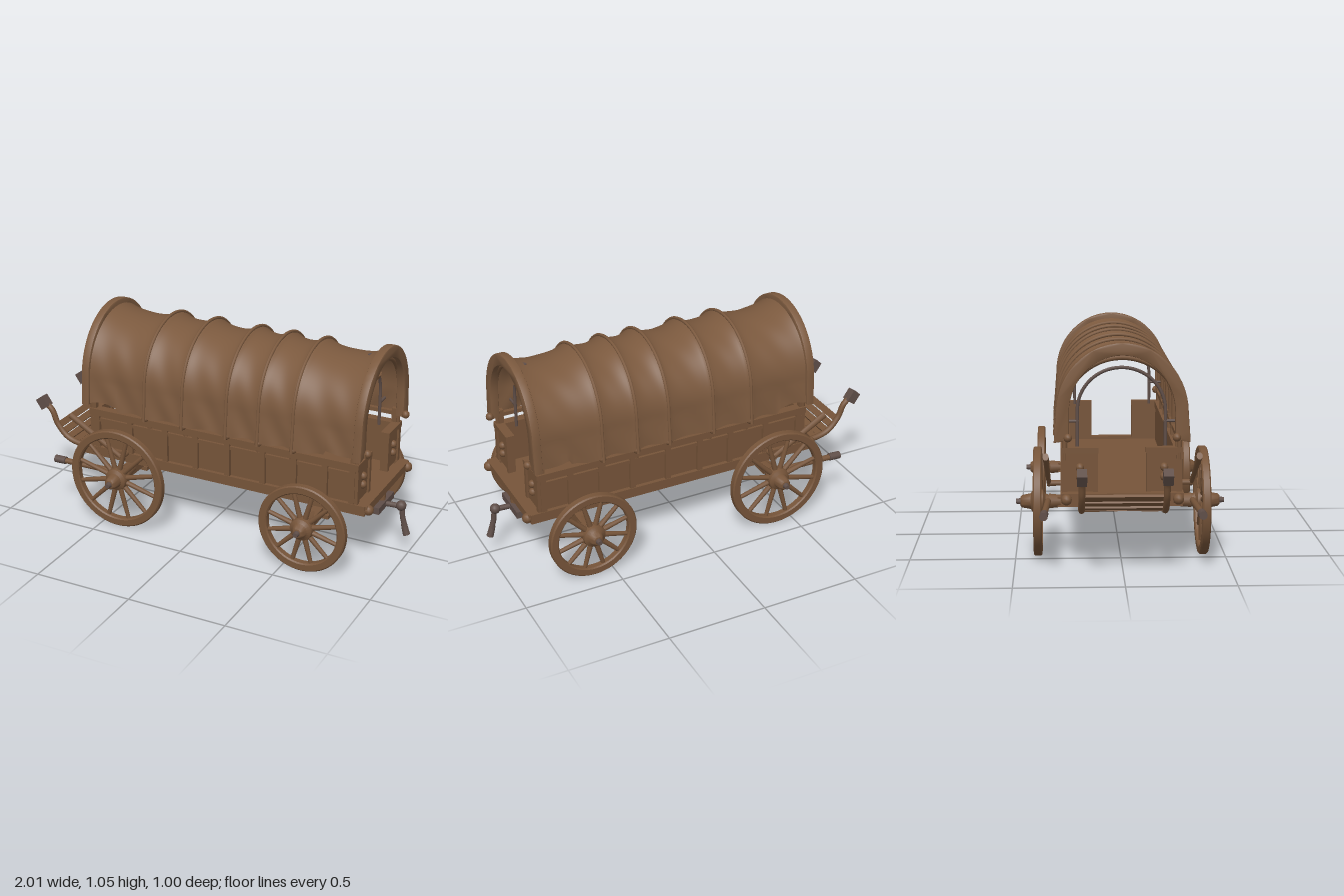
import * as THREE from 'three';
import { toCreasedNormals } from 'three/addons/utils/BufferGeometryUtils.js';

const wood = new THREE.MeshStandardMaterial({ color: 0x765439 });
wood.name = 'wood';
const canvas = new THREE.MeshStandardMaterial({ color: 0x7b593e, side: THREE.DoubleSide });
canvas.name = 'canvas';
const iron = new THREE.MeshStandardMaterial({ color: 0x5f4e48 });
iron.name = 'iron';

const V = (x, y, z) => new THREE.Vector3(x, y, z);

function add(parent, name, geo, mat, x = 0, y = 0, z = 0) {
  const m = new THREE.Mesh(geo, mat);
  m.name = name;
  m.position.set(x, y, z);
  parent.add(m);
  return m;
}
const box = (p, name, mat, w, h, d, x, y, z) => add(p, name, new THREE.BoxGeometry(w, h, d), mat, x, y, z);

// Straight round bar between two points
function rod(p, name, mat, a, b, r0, r1 = r0) {
  const m = add(p, name, new THREE.CylinderGeometry(r1, r0, a.distanceTo(b), 10), mat);
  m.position.copy(a).lerp(b, 0.5);
  m.quaternion.setFromUnitVectors(V(0, 1, 0), b.clone().sub(a).normalize());
  return m;
}
const tube = (p, name, mat, pts, r, n = 32) =>
  add(p, name, new THREE.TubeGeometry(new THREE.CatmullRomCurve3(pts), n, r, 8), mat);

// Point (z, y) on the arched section; u runs from +z hem to -z hem
function archPoint(u, rz, ry, hem, flare = 0) {
  const base = 0.72, leg = 0.15;
  if (u < leg || u > 1 - leg) {
    const t = u < leg ? u / leg : (1 - u) / leg;
    return [(u < 0.5 ? 1 : -1) * (rz + flare * (1 - t)), hem + (base - hem) * t];
  }
  const a = Math.PI * (u - leg) / (1 - 2 * leg);
  return [rz * Math.cos(a), base + ry * Math.sin(a)];
}
function archLine(x, rz, ry, hem, flare) {
  return Array.from({ length: 33 }, (_, i) => {
    const [z, y] = archPoint(i / 32, rz, ry, hem, flare);
    return V(x, y, z);
  });
}

const ribs = [-0.64, -0.3, -0.09, 0.15, 0.32, 0.5, 0.84];

// Canvas stretched over the ribs, sagging between them
function cover(g) {
  const geo = new THREE.PlaneGeometry(1, 1, 120, 64);
  const p = geo.attributes.position;
  for (let i = 0; i < p.count; i++) {
    const x = -0.64 + 1.48 * (p.getX(i) + 0.5), u = p.getY(i) + 0.5;
    let k = 0;
    while (k < ribs.length - 2 && x > ribs[k + 1]) k++;
    const span = ribs[k + 1] - ribs[k], t = (x - ribs[k]) / span;
    const sag = Math.pow(Math.max(0, 4 * t * (1 - t)), 0.6) * (0.018 + span * 0.07);
    const side = Math.abs(u - 0.5) * 2;
    const fold = 0.005 * side * Math.sin(x * 38 + u * 25) * Math.sin(Math.PI * t);
    const hem = (x > -0.46 && x < 0.66 ? 0.575 : 0.597) + 0.006 * Math.sin(x * 31);
    const end = Math.abs(x - 0.1) / 0.74;
    const [z, y] = archPoint(u, 0.3 - sag * 0.45 + fold, 0.305 + 0.015 * end ** 4 - sag + fold, hem, 0.012);
    p.setXYZ(i, x, y, z);
  }
  geo.computeVertexNormals();
  add(g, 'canvasCover', geo, canvas);
  for (const x of ribs.slice(1, -1)) tube(g, 'coverSeam', canvas, archLine(x, 0.298, 0.303, 0.56, 0.015), 0.008, 64);

  // Thick rolled edges at both openings
  for (const x of [-0.65, 0.815]) {
    const s = new THREE.Shape();
    const N = 40;
    for (let i = 0; i <= N; i++) {
      const [z, y] = archPoint(i / N, 0.3, 0.32, 0.59, 0.01);
      i ? s.lineTo(z, y) : s.moveTo(z, y);
    }
    for (let i = N; i >= 0; i--) s.lineTo(...archPoint(i / N, 0.25, 0.272, 0.6));
    const geoEdge = new THREE.ExtrudeGeometry(s, { depth: 0.03, bevelEnabled: true, bevelSize: 0.005, bevelThickness: 0.006, bevelSegments: 2 });
    geoEdge.rotateY(Math.PI / 2);
    // rotating sends local +x to -z; the section is symmetric
    add(g, 'rolledEdge', toCreasedNormals(geoEdge, 0.6), canvas, x, 0, 0);
  }
  // Inner hoops
  for (const x of ribs) tube(g, 'woodHoop', wood, archLine(x * 0.97, 0.265, 0.255, 0.5), 0.012, 48);
  for (const x of [-0.55, 0.74]) {
    tube(g, 'ironHoop', iron, archLine(x, 0.205, 0.2, 0.55), 0.008, 48);
    for (const s of [1, -1]) rod(g, 'hoopBracket', iron, V(x, 0.67, s * 0.2), V(x, 0.67, s * 0.27), 0.007);
  }
  // Hanging lamp under the roof
  box(g, 'lampBoard', wood, 0.06, 0.03, 0.17, 0.74, 0.955, 0);
  add(g, 'lampBody', new THREE.CylinderGeometry(0.045, 0.07, 0.06, 12), wood, 0.74, 0.92, 0);
  add(g, 'lampRing', new THREE.CylinderGeometry(0.075, 0.07, 0.015, 12), wood, 0.74, 0.895, 0);
  rod(g, 'lampStem', iron, V(0.76, 0.94, 0), V(0.76, 1.0, 0), 0.014);
  rod(g, 'lampHook', wood, V(0.76, 0.89, -0.035), V(0.76, 0.855, -0.035), 0.009, 0.006);
}

function body(g) {
  box(g, 'floor', wood, 1.46, 0.03, 0.5, 0.1, 0.32, 0);
  for (const s of [1, -1]) {
    box(g, 'sidePanel', wood, 1.42, 0.2, 0.02, 0.1, 0.44, s * 0.255);
    box(g, 'bottomSill', wood, 1.54, 0.05, 0.04, 0.1, 0.325, s * 0.265);
    box(g, 'topRail', wood, 1.46, 0.035, 0.045, 0.1, 0.54, s * 0.262);
    box(g, 'lowerRail', wood, 1.44, 0.018, 0.032, 0.1, 0.5, s * 0.262);
    box(g, 'coverRail', wood, 1.52, 0.02, 0.022, 0.1, 0.605, s * 0.262);
    for (const x of [-0.59, -0.4, -0.2, -0.03, 0.145, 0.335, 0.5, 0.66, 0.8])
      box(g, 'sidePost', wood, 0.028, 0.2, 0.036, x, 0.44, s * 0.264);
    for (const x of ribs) {
      const px = THREE.MathUtils.clamp(x, -0.61, 0.8);
      box(g, 'coverStake', wood, 0.025, 0.1, 0.025, px, 0.58, s * 0.262);
      if (px === x) add(g, 'tieKnot', new THREE.SphereGeometry(0.018, 10, 8), wood, x, 0.57, s * 0.295);
    }
    // End panels flanking the openings, with frame and latch
    for (const [x, d] of [[-0.61, -1], [0.81, 1]]) {
      box(g, 'endPanel', wood, 0.02, 0.2, 0.15, x, 0.45, s * 0.19);
      box(g, 'endPanelTop', wood, 0.045, 0.025, 0.17, x, 0.545, s * 0.195);
      box(g, 'endPanelInnerPost', wood, 0.04, 0.2, 0.022, x, 0.45, s * 0.123);
      box(g, 'endPanelOuterPost', wood, 0.04, 0.2, 0.025, x, 0.45, s * 0.265);
      for (const y of [0.42, 0.465])
        add(g, 'latch', new THREE.SphereGeometry(0.02, 10, 8), wood, x + d * 0.012, y, s * 0.195);
      add(g, 'railKnob', new THREE.SphereGeometry(0.02, 10, 8), wood, x + d * 0.05, 0.61, s * 0.25);
      add(g, 'sillKnob', new THREE.SphereGeometry(0.026, 10, 8), wood, x + d * 0.07, 0.325, s * 0.258);
    }
  }
  for (const x of [-0.645, 0.855]) box(g, 'endSill', wood, 0.05, 0.04, 0.56, x, 0.33, 0);
}

// Spoked wheel facing +z
function wheel(r, reach) {
  const w = new THREE.Group();
  w.name = 'wheel';
  const ring = new THREE.Shape().absarc(0, 0, r - 0.006, 0, Math.PI * 2);
  ring.holes.push(new THREE.Path().absarc(0, 0, r - 0.036, 0, Math.PI * 2, true));
  const rim = new THREE.ExtrudeGeometry(ring, { depth: 0.028, bevelSize: 0.006, bevelThickness: 0.006, bevelSegments: 1, curveSegments: 48 });
  add(w, 'rim', toCreasedNormals(rim, 0.6), wood, 0, 0, -0.014);
  for (let i = 0; i < 12; i++) {
    const a = (i + 0.5) * Math.PI / 6, c = Math.cos(a), s = Math.sin(a);
    rod(w, 'spoke', wood, V(c * 0.03, s * 0.03, 0), V(c * (r - 0.03), s * (r - 0.03), 0), 0.014, 0.01);
  }
  const prof = [[0, -0.055], [0.03, -0.055], [0.036, -0.035], [0.055, -0.024], [0.06, 0], [0.055, 0.024], [0.038, 0.034], [0.03, reach - 0.03], [0.022, reach - 0.022], [0, reach - 0.02]];
  const hub = new THREE.LatheGeometry(prof.map(q => new THREE.Vector2(...q)), 20).rotateX(Math.PI / 2);
  add(w, 'hub', toCreasedNormals(hub, 0.7), wood);
  rod(w, 'hubCap', iron, V(0, 0, reach - 0.025), V(0, 0, reach), 0.016, 0.012);
  return w;
}

function runningGear(g) {
  for (const [x, r, z, reach] of [[-0.41, 0.26, 0.393, 0.105], [0.6, 0.224, 0.387, 0.085]]) {
    const y = r;
    for (const s of [1, -1]) {
      const w = wheel(r, reach);
      w.position.set(x, y, s * z);
      if (s < 0) w.rotation.y = Math.PI;
      g.add(w);
      box(g, 'axleBlock', wood, 0.07, 0.03, 0.1, x, 0.293, s * 0.17);
      rod(g, 'axleCollar', wood, V(x, y, s * 0.25), V(x, y, s * 0.34), 0.026, 0.036);
      box(g, 'axleStrap', wood, 0.09, 0.02, 0.08, x, y - 0.035, s * 0.14);
    }
    box(g, 'axle', wood, 0.05, 0.05, 0.6, x, y, 0);
    box(g, 'bolster', wood, 0.09, 0.035, 0.4, x, y + 0.012, 0);
  }
  for (const s of [1, -1]) {
    // Struts from the axles to the ends
    rod(g, 'hitchStrut', wood, V(-0.38, 0.25, s * 0.08), V(-0.7, 0.285, s * 0.19), 0.016);
    rod(g, 'towStrut', wood, V(0.6, 0.24, s * 0.15), V(0.86, 0.24, s * 0.04), 0.016);
    // Upswept arms with iron heads
    tube(g, 'upsweptArm', wood, [V(-0.6, 0.3, s * 0.19), V(-0.74, 0.29, s * 0.19), V(-0.83, 0.315, s * 0.19), V(-0.89, 0.38, s * 0.19), V(-0.92, 0.45, s * 0.19), V(-0.965, 0.49, s * 0.19)], 0.015);
    box(g, 'armHead', iron, 0.05, 0.06, 0.045, -0.967, 0.487, s * 0.19).rotation.z = 0.6;
    // Side bar and brake lever beside the large wheel
    rod(g, 'sideBar', wood, V(-0.4, 0.265, s * 0.343), V(-0.77, 0.272, s * 0.362), 0.015);
    rod(g, 'sideBarCap', iron, V(-0.735, 0.272, s * 0.36), V(-0.795, 0.272, s * 0.363), 0.02);
    const lever = rod(g, 'brakeLever', wood, V(-0.4, 0.34, s * 0.34), V(-0.7, 0.53, s * 0.352), 0.013, 0.018);
    lever.scale.z = 0.8;
    rod(g, 'leverPivot', wood, V(-0.42, 0.35, s * 0.26), V(-0.42, 0.35, s * 0.35), 0.014);
  }
  // Sloping slatted footboard
  [[-0.75, 0.295], [-0.785, 0.302], [-0.82, 0.318], [-0.85, 0.345], [-0.877, 0.375]].forEach(([x, y], i) => {
    box(g, 'footboardSlat', wood, 0.034, 0.014, 0.37, x, y, 0).rotation.z = -0.1 - i * 0.18;
  });
  // Tow bar and drooping hook
  box(g, 'towPlate', iron, 0.05, 0.035, 0.2, 0.85, 0.24, 0);
  rod(g, 'towPin', wood, V(0.85, 0.22, 0), V(0.85, 0.31, 0), 0.018);
  tube(g, 'towHook', iron, [V(0.84, 0.235, 0), V(0.9, 0.24, 0), V(0.95, 0.235, 0), V(0.962, 0.18, 0), V(0.985, 0.11, 0)], 0.014);
  add(g, 'hookKnuckle', new THREE.SphereGeometry(0.026, 12, 10), iron, 0.95, 0.245, 0);
  rod(g, 'hookTip', iron, V(0.968, 0.15, 0), V(0.986, 0.095, 0), 0.014, 0.018);
}

export function createModel() {
  const g = new THREE.Group();
  g.name = 'coveredWagon';
  for (const [name, build] of [['cover', cover], ['body', body], ['runningGear', runningGear]]) {
    const part = new THREE.Group();
    part.name = name;
    build(part);
    g.add(part);
  }
  return g;
}
